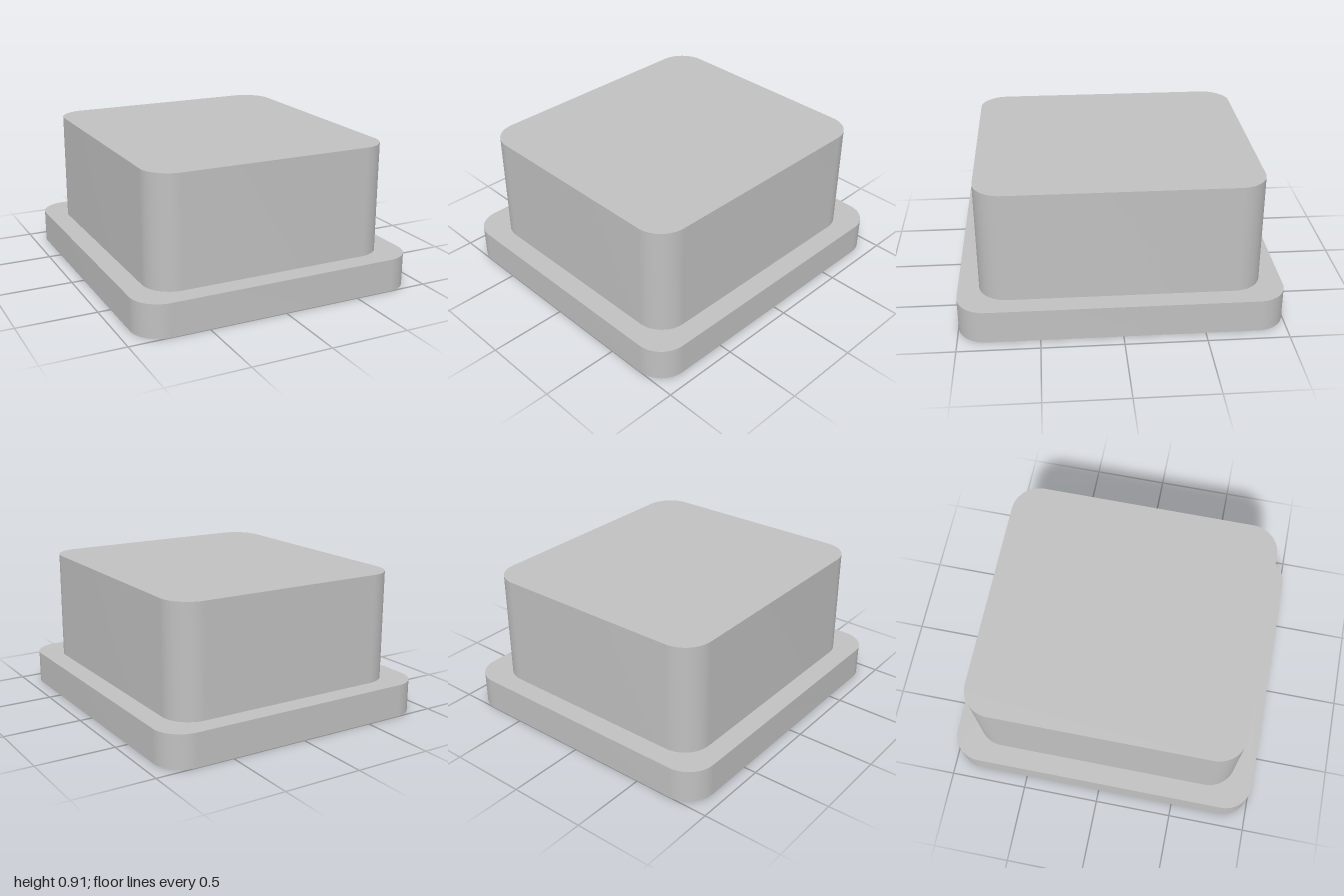
import * as THREE from 'three';
import { toCreasedNormals } from 'three/addons/utils/BufferGeometryUtils.js';

const BASE = { hx: 0.92, hz: 1.0, r: 0.18, y0: 0, y1: 0.21 };
const BODY = { hx: 0.79, hz: 0.87, r: 0.18, y0: 0.21, y1: 0.91 };
const HOLE = { r: 0.435, depth: 0.12 };
const CURVE = 16;

// rounded rectangle outline, drawn counter-clockwise
function roundedRect({ hx, hz, r }, Type = THREE.Shape) {
  const s = new Type();
  s.absarc(hx - r, hz - r, r, 0, Math.PI / 2);
  s.absarc(r - hx, hz - r, r, Math.PI / 2, Math.PI);
  s.absarc(r - hx, r - hz, r, Math.PI, Math.PI * 1.5);
  s.absarc(hx - r, r - hz, r, Math.PI * 1.5, Math.PI * 2);
  s.closePath();
  return s;
}

// upright side walls only, without end caps
function walls(block) {
  const geo = new THREE.ExtrudeGeometry(roundedRect(block), {
    depth: block.y1 - block.y0, bevelEnabled: false, curveSegments: CURVE,
  });
  const { start, count } = geo.groups[1];
  const side = new THREE.BufferGeometry();
  const p = geo.attributes.position.array.slice(start * 3, (start + count) * 3);
  side.setAttribute('position', new THREE.BufferAttribute(p, 3));
  side.rotateX(-Math.PI / 2).translate(0, block.y0, 0);
  return toCreasedNormals(side, 0.6);
}

// flat horizontal face, facing up (1) or down (-1)
function face(shape, y, up, segments = CURVE) {
  return new THREE.ShapeGeometry(shape, segments).rotateX(-up * Math.PI / 2).translate(0, y, 0);
}

export function createModel() {
  const model = new THREE.Group();
  model.name = 'steppedBlock';
  const grey = new THREE.MeshStandardMaterial({ color: 0xc0c0c0 });
  grey.name = 'grey';
  const add = (name, geo, parent) => {
    const mesh = new THREE.Mesh(geo, grey);
    mesh.name = name;
    parent.add(mesh);
  };
  const group = (name) => {
    const g = new THREE.Group();
    g.name = name;
    model.add(g);
    return g;
  };

  // wide flange with a round blind recess underneath
  const base = group('baseFlange');
  add('flangeWalls', walls(BASE), base);
  const ledge = roundedRect(BASE);
  ledge.holes.push(roundedRect(BODY, THREE.Path));
  add('flangeLedge', face(ledge, BASE.y1, 1), base);
  const underside = roundedRect(BASE);
  underside.holes.push(new THREE.Path().absarc(0, 0, HOLE.r, 0, Math.PI * 2));
  add('flangeUnderside', face(underside, BASE.y0, -1, 32), base);

  // recess ceiling and wall, turned as one profile
  const profile = [[0, HOLE.depth], [HOLE.r, HOLE.depth], [HOLE.r, 0]];
  const recess = new THREE.LatheGeometry(profile.map(([x, y]) => new THREE.Vector2(x, y)), 64);
  add('recess', toCreasedNormals(recess, 0.6), base);

  // upper block
  const body = group('upperBlock');
  add('blockWalls', walls(BODY), body);
  add('blockTop', face(roundedRect(BODY), BODY.y1, 1), body);

  return model;
}
